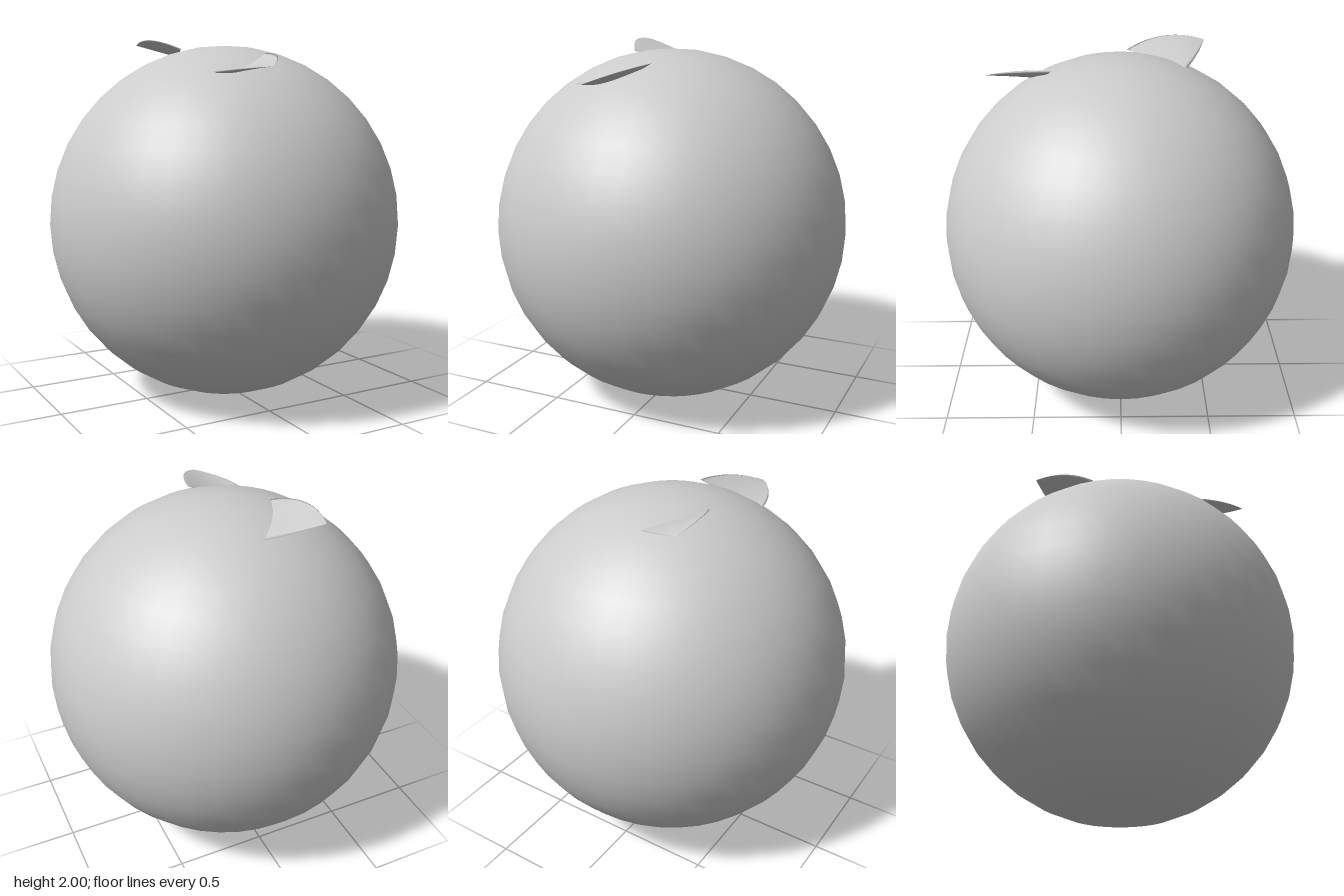
import * as THREE from 'three';
import { ParametricGeometry } from 'three/addons/geometries/ParametricGeometry.js';

const material = new THREE.MeshStandardMaterial({ color: 0xcccccc, side: THREE.DoubleSide });

// Quadratic curve through three points
function through(a, m, b) {
  const [p, q, r] = [a, m, b].map((c) => new THREE.Vector3(...c));
  const control = q.clone().multiplyScalar(2).addScaledVector(p, -0.5).addScaledVector(r, -0.5);
  return new THREE.QuadraticBezierCurve3(p, control, r);
}

// Thin curved three-cornered leaf: a base edge a-b and two sides meeting at the tip
function leaf(name, { a, b, tip, baseMid, sideA, sideB }) {
  const base = through(a, baseMid, b);
  const edgeA = through(a, sideA, tip);
  const edgeB = through(b, sideB, tip);
  const group = new THREE.Group();
  group.name = name;

  // side = 1 is the upper skin, -1 the lower skin
  for (const side of [1, -1]) {
    const skin = (s, t, target) => {
      const u = side > 0 ? 1 - s : s;
      const v = t * 0.995;
      const bow = base.getPoint(u).sub(edgeA.v0.clone().lerp(edgeB.v0, u));
      target.copy(edgeA.getPoint(v)).lerp(edgeB.getPoint(v), u).addScaledVector(bow, 1 - v);
      target.y += side * 0.009 * Math.sqrt(Math.max(0, Math.sin(Math.PI * u))) * (1 - v * v);
    };
    const mesh = new THREE.Mesh(new ParametricGeometry(skin, 20, 20), material);
    mesh.name = side > 0 ? 'leafUpperSkin' : 'leafLowerSkin';
    group.add(mesh);
  }
  return group;
}

export function createModel() {
  const model = new THREE.Group();
  model.name = 'fruit';

  // Round body
  const body = new THREE.Mesh(new THREE.SphereGeometry(0.982, 40, 20), material);
  body.name = 'body';
  body.position.y = 0.984;
  model.add(body);

  // Leaves lifting off the top of the body
  model.add(leaf('frontLeaf', {
    a: [-0.31, 1.81, 0.44],
    b: [0.05, 1.913, 0.36],
    tip: [-0.15, 1.83, 0.74],
    baseMid: [-0.15, 1.825, 0.45],
    sideA: [-0.255, 1.82, 0.6],
    sideB: [-0.02, 1.885, 0.585],
  }));
  model.add(leaf('backLeaf', {
    a: [-0.05, 1.9, -0.36],
    b: [-0.25, 1.945, -0.04],
    tip: [-0.33, 1.98, -0.47],
    baseMid: [-0.17, 1.925, -0.21],
    sideA: [-0.185, 1.94, -0.425],
    sideB: [-0.335, 2.0, -0.25],
  }));

  return model;
}
